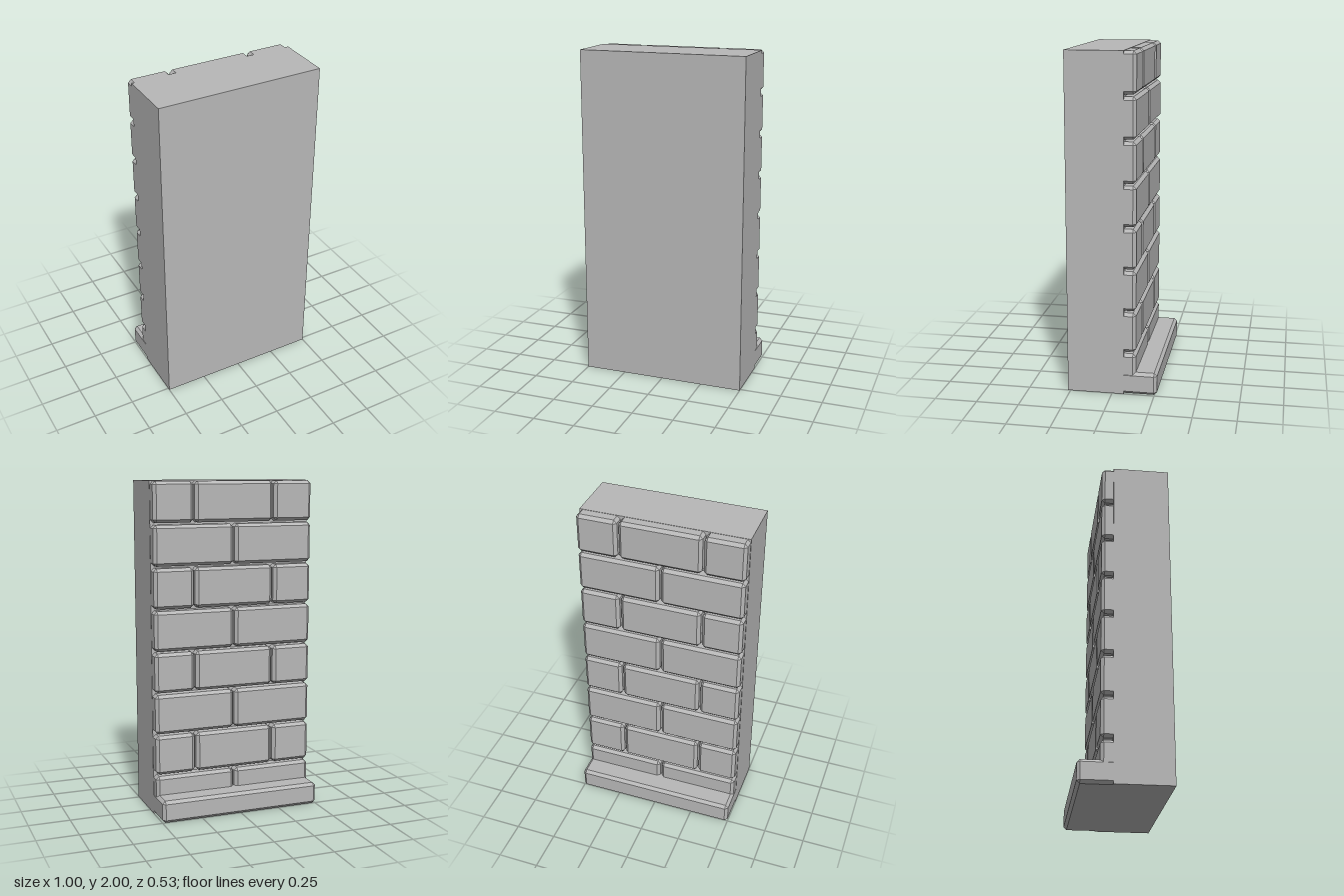
import * as THREE from 'three';
import { ConvexGeometry } from 'three/addons/geometries/ConvexGeometry.js';

const BACK = -0.07; // plane where bricks and plinth meet the wall
const BEVEL = 0.018;

// Block standing out of the wall towards -z, bevelled on every edge except at the wall
function bevelledBlock(x0, x1, y0, y1, zOut) {
  const b = BEVEL, cx = (x0 + x1) / 2, cy = (y0 + y1) / 2;
  const w = (x1 - x0) / 2, h = (y1 - y0) / 2;
  const points = [];
  for (const sx of [-1, 1]) {
    for (const sy of [-1, 1]) {
      const add = (px, py, z) => points.push(new THREE.Vector3(cx + sx * px, cy + sy * py, z));
      add(w - b, h - b, zOut);
      for (const z of [zOut + b, BACK]) {
        add(w, h - b, z);
        add(w - b, h, z);
      }
    }
  }
  return new ConvexGeometry(points);
}

export function createModel() {
  const group = new THREE.Group();
  const stone = new THREE.MeshStandardMaterial({ color: 0xb8b8b8 });
  stone.name = 'grey stone';

  const add = (geometry, name, parent = group) => {
    const mesh = new THREE.Mesh(geometry, stone);
    mesh.name = name;
    parent.add(mesh);
    return mesh;
  };

  // Plain wall slab
  add(new THREE.BoxGeometry(1, 2, 0.335), 'wall').position.set(0, 1, 0.0975);

  // Brick courses in running bond on the back
  const bricks = new THREE.Group();
  bricks.name = 'bricks';
  group.add(bricks);
  const halves = [[-0.498, -0.005], [0.005, 0.498]];
  const staggered = [[-0.498, -0.256], [-0.246, 0.244], [0.254, 0.498]];
  for (let row = 0; row < 8; row++) {
    const top = (row + 1) * 0.25 - 0.002;
    for (const [x0, x1] of row % 2 ? staggered : halves) {
      add(bevelledBlock(x0, x1, top - 0.238, top, -0.14), 'brick', bricks);
    }
  }

  // Plinth along the foot
  add(bevelledBlock(-0.5, 0.5, 0, 0.135, -0.265), 'plinth');

  return group;
}
